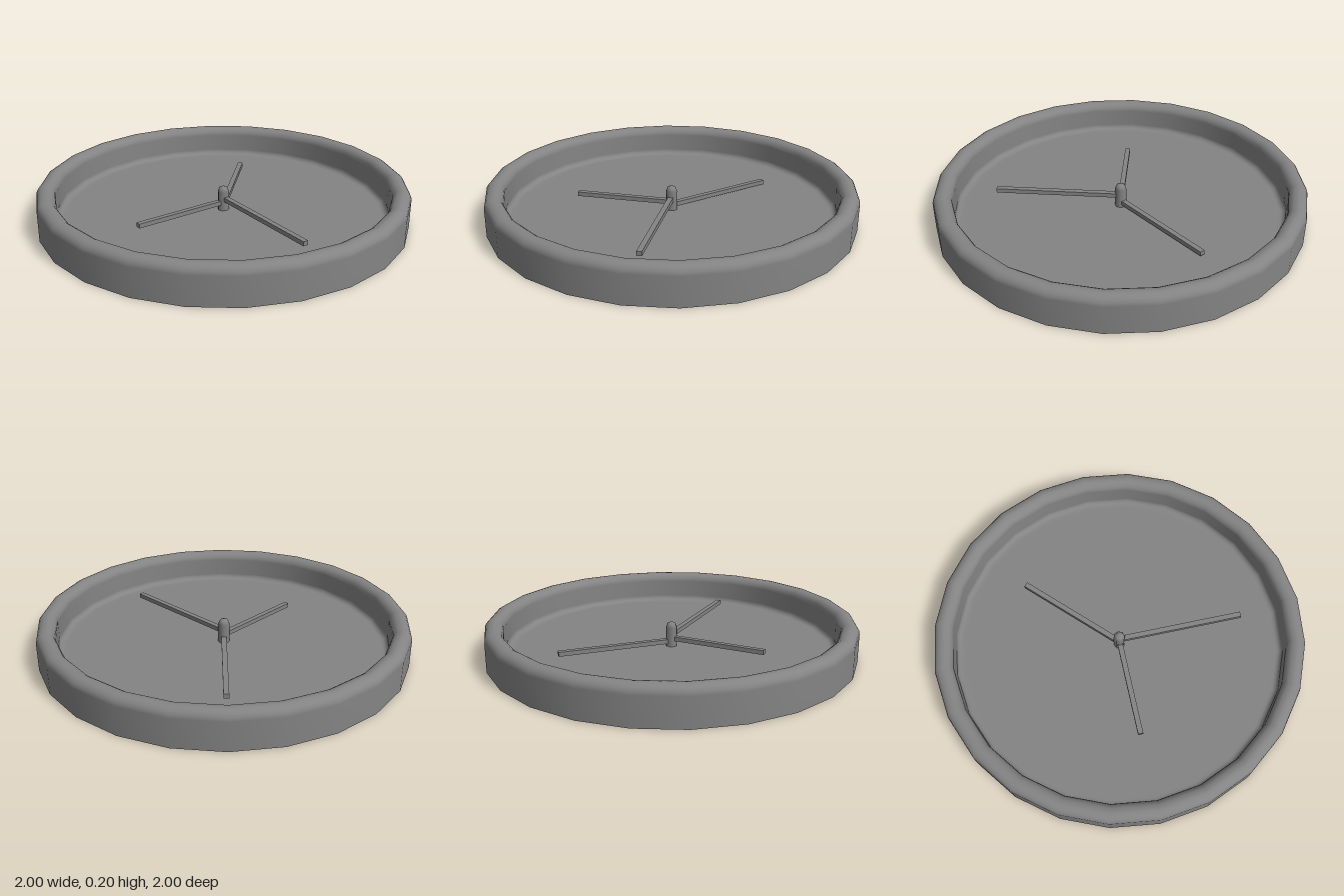
import * as THREE from 'three';

export function createModel() {
  const group = new THREE.Group();
  const material = new THREE.MeshStandardMaterial({ color: 0x848484 });
  const add = (name, geometry) => {
    const mesh = new THREE.Mesh(geometry, material);
    mesh.name = name;
    group.add(mesh);
    return mesh;
  };

  const SIDES = 24, FLOOR = 0.03, TOP = 0.2, INNER = 0.9, ROUND = 0.045, FILLET = 0.03;
  const profile = [];
  const arc = (cx, cy, r, from, to, steps = 4) => {
    for (let i = 0; i <= steps; i++) {
      const a = THREE.MathUtils.degToRad(from + ((to - from) * i) / steps);
      profile.push(new THREE.Vector2(cx + r * Math.cos(a), cy + r * Math.sin(a)));
    }
  };

  // Case: outer wall, rounded rim, inner wall, fillet and dial in one section
  profile.push(new THREE.Vector2(1, 0));
  arc(1 - ROUND, TOP - ROUND, ROUND, 0, 90);
  arc(INNER + ROUND, TOP - ROUND, ROUND, 90, 180);
  arc(INNER - FILLET, FLOOR + FILLET, FILLET, 0, -90);
  profile.push(new THREE.Vector2(INNER - FILLET - 0.02, FLOOR), new THREE.Vector2(0, FLOOR));
  add('case', new THREE.LatheGeometry(profile, SIDES));

  // Flat back of the case
  add('backPlate', new THREE.CircleGeometry(1, SIDES).rotateX(Math.PI / 2));

  // Central pin with a low, faceted cap
  const pinRadius = 0.031, pinTop = 0.136;
  add('pin', new THREE.CylinderGeometry(pinRadius, pinRadius, pinTop - FLOOR, 8, 1, true)
    .translate(0, (pinTop + FLOOR) / 2, 0));
  add('pinCap', new THREE.SphereGeometry(pinRadius, 8, 2, 0, Math.PI * 2, 0, Math.PI / 2)
    .translate(0, pinTop, 0));

  // Hands: stacked bars turned about the pin
  const hands = [
    ['secondHand', 0.628, 0.057, Math.PI * 0.75],
    ['hourHand', 0.535, 0.073, -Math.PI / 2],
    ['minuteHand', 0.685, 0.095, 0],
  ];
  for (const [name, length, height, angle] of hands) {
    const hand = add(name, new THREE.BoxGeometry(length, 0.024, 0.028).translate(length / 2, 0, 0));
    hand.position.y = height;
    hand.rotation.y = angle;
  }
  return group;
}
